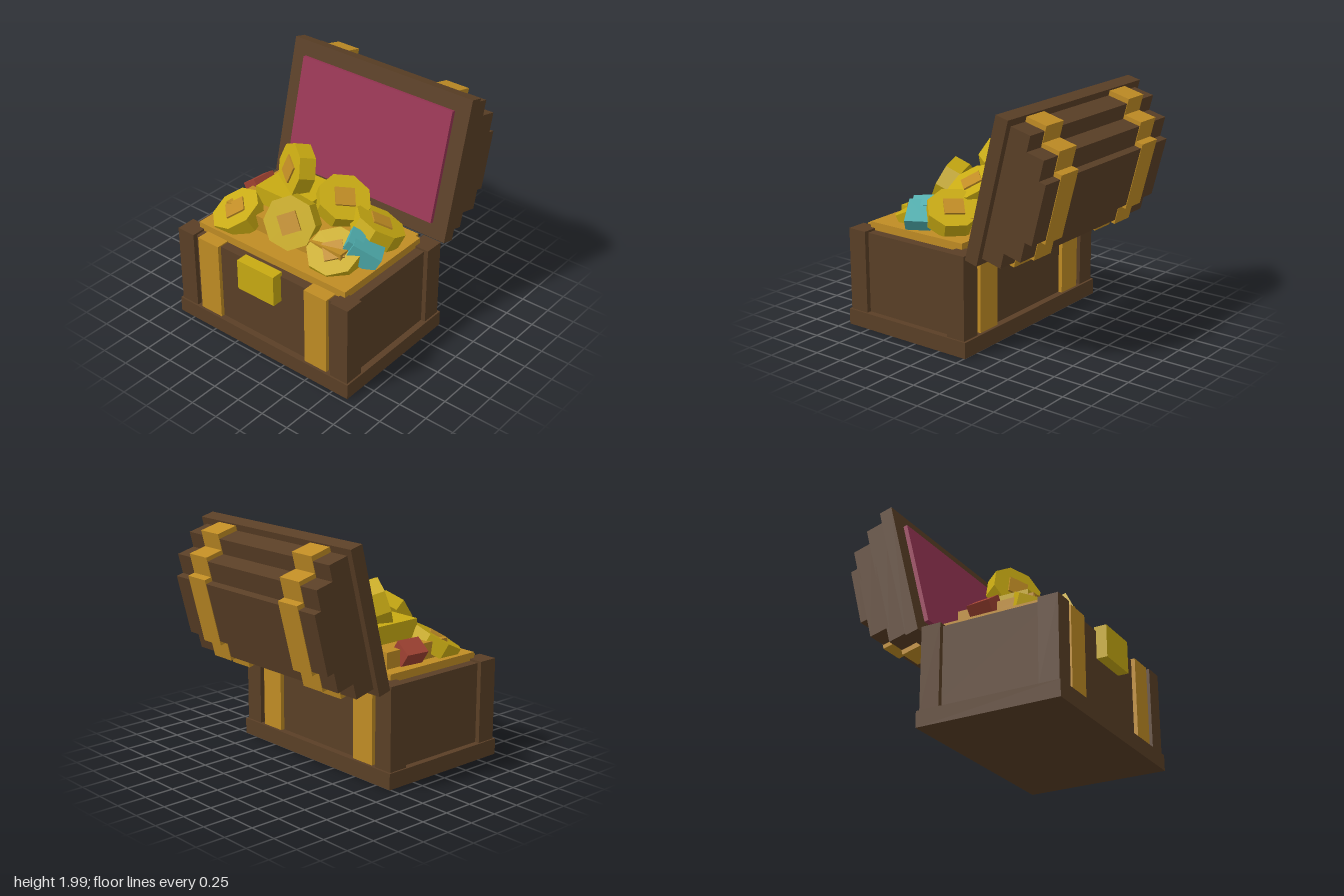
import * as THREE from 'three';

const mat = (name, color) => {
  const m = new THREE.MeshStandardMaterial({ color });
  m.name = name;
  return m;
};

export function createModel() {
  const wood = mat('wood', 0x5a3f26);
  const brass = mat('brass', 0xc08c24);
  const gold = mat('gold', 0xc8aa12);
  const lining = mat('lining', 0x983554);
  const teal = mat('teal gem', 0x4fadad);
  const red = mat('red gem', 0xa04232);

  const chest = new THREE.Group();
  chest.name = 'treasureChest';

  // Box from its min and max corners
  const box = (parent, name, material, x0, x1, y0, y1, z0, z1) => {
    const mesh = new THREE.Mesh(new THREE.BoxGeometry(x1 - x0, y1 - y0, z1 - z0), material);
    mesh.position.set((x0 + x1) / 2, (y0 + y1) / 2, (z0 + z1) / 2);
    mesh.name = name;
    parent.add(mesh);
    return mesh;
  };

  // Lower chest
  box(chest, 'basePlinth', wood, -0.9, 0.9, 0, 0.135, -0.26, 0.96);
  box(chest, 'body', wood, -0.845, 0.845, 0.13, 0.815, -0.2, 0.905);
  for (const s of [-1, 1]) {
    for (const z of [-0.24, 0.775]) {
      const x = s * 0.8;
      box(chest, 'cornerPost', wood, x - 0.085, x + 0.085, 0.13, 0.833, z, z + 0.17);
    }
    const x = s * 0.56;
    box(chest, 'bodyStrap', brass, x - 0.11, x + 0.11, 0.13, 0.826, -0.235, 0.938);
  }
  box(chest, 'lock', gold, -0.188, 0.188, 0.58, 0.85, 0.89, 0.995);

  // Open lid: stepped planks behind a rim, leaning back
  const lid = new THREE.Group();
  lid.name = 'lid';
  lid.position.set(0, 1.403, -0.415);
  lid.rotation.x = -0.2485;
  chest.add(lid);
  box(lid, 'lidRim', wood, -0.9, 0.9, -0.605, 0.605, -0.115, 0);
  box(lid, 'lidLining', lining, -0.762, 0.762, -0.475, 0.475, -0.02, 0.036);
  const tiers = [[0.55, 0.592, 0.295], [0.42, 0.455, 0.452], [0.252, 0.288, 0.515]];
  let start = 0.1;
  for (const [half, strapHalf, depth] of tiers) {
    box(lid, 'lidTier', wood, -0.848, 0.848, -half, half, -depth, -start);
    for (const x of [-0.56, 0.56]) {
      box(lid, 'lidStrap', brass, x - 0.11, x + 0.11, -strapHalf, strapHalf, -depth - 0.005, -start - 0.015);
    }
    start = depth - 0.02;
  }

  // Heaped treasure
  box(chest, 'treasureBed', brass, -0.762, 0.762, 0.78, 0.882, -0.127, 0.822);
  box(chest, 'treasureMound', brass, -0.65, 0.55, 0.87, 1.02, -0.06, 0.615);
  box(chest, 'goldBlock', gold, -0.46, 0.05, 1.0, 1.173, 0.03, 0.46);

  // Octagonal coins with a raised diamond on both faces
  const coinGeo = new THREE.CylinderGeometry(0.222, 0.222, 0.14, 8).toNonIndexed();
  coinGeo.rotateY(Math.PI / 8);
  coinGeo.computeVertexNormals();
  const diamondGeo = new THREE.CylinderGeometry(0.115, 0.115, 0.17, 4).toNonIndexed();
  diamondGeo.computeVertexNormals();
  const up = new THREE.Vector3(0, 1, 0);
  const coins = [
    // centre, facing
    [[-0.52, 0.95, 0.6], [-0.25, 0.85, 0.42]],
    [[-0.24, 1.29, 0.205], [-0.48, 0.28, 0.83]],
    [[0.025, 1.08, 0.57], [0.27, 0.42, 0.87]],
    [[0.21, 1.15, 0.17], [0.45, 0.87, 0.2]],
    [[0.535, 1.02, 0.14], [0.3, 0.87, -0.35]],
    [[0.44, 0.935, 0.55], [0.13, 0.87, 0.42]],
  ];
  for (const [p, n] of coins) {
    const coin = new THREE.Group();
    coin.name = 'coin';
    const disc = new THREE.Mesh(coinGeo, gold);
    disc.name = 'coinDisc';
    const diamond = new THREE.Mesh(diamondGeo, brass);
    diamond.name = 'coinDiamond';
    coin.add(disc, diamond);
    coin.position.set(...p);
    coin.quaternion.setFromUnitVectors(up, new THREE.Vector3(...n).normalize());
    chest.add(coin);
  }

  // Rough cut gems
  const gem = (name, material, size, pos, rot) => {
    const mesh = new THREE.Mesh(new THREE.BoxGeometry(...size), material);
    mesh.name = name;
    mesh.position.set(...pos);
    mesh.rotation.set(rot[0], rot[1], rot[2], 'YXZ');
    chest.add(mesh);
  };
  gem('tealGem', teal, [0.25, 0.15, 0.2], [0.625, 0.965, 0.41], [0, 0.5, -0.5]);
  gem('tealGemTip', teal, [0.12, 0.13, 0.19], [0.53, 1.03, 0.43], [0.1, 0.45, -0.5]);
  gem('redGem', red, [0.16, 0.18, 0.21], [-0.64, 0.965, 0.19], [0, -0.1, 0.62]);

  return chest;
}
